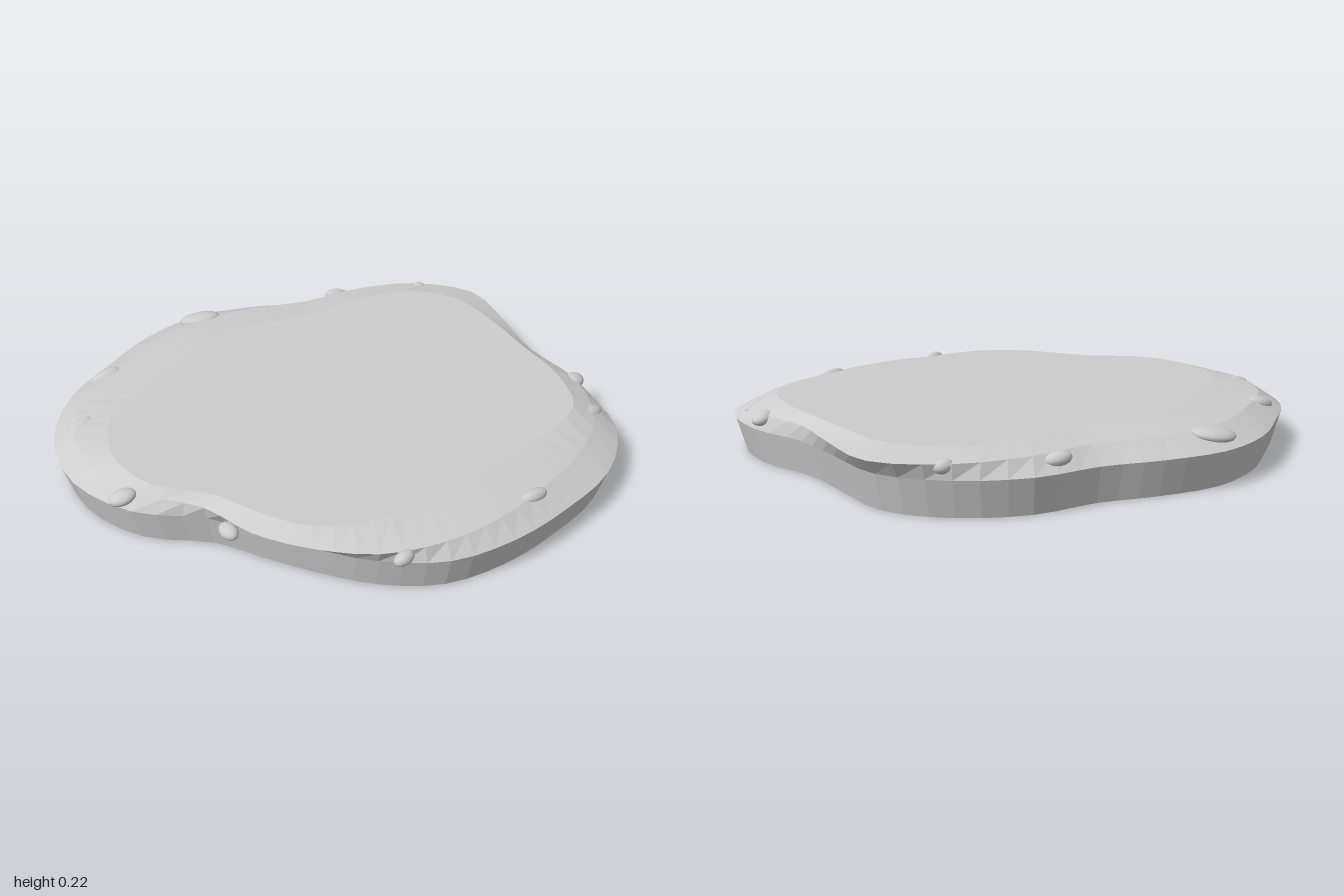
import * as THREE from 'three';

const SEGMENTS = 72;

// Ring radii every 15 degrees, from +x round towards +z
const RIM = [0.90, 0.88, 0.985, 1.06, 1.04, 0.975, 0.94, 0.91, 0.84, 0.77, 0.74, 0.755,
  0.91, 1.02, 1.06, 1.04, 0.98, 0.965, 0.94, 0.88, 0.85, 0.93, 0.98, 0.985];
const SHOULDER = [0.925, 0.875, 0.95, 0.97, 0.93, 0.88, 0.87, 0.87, 0.865, 0.83, 0.80, 0.765,
  0.86, 0.95, 0.98, 0.95, 0.88, 0.85, 0.82, 0.78, 0.77, 0.87, 0.98, 1.03];
const TOP = [0.85, 0.83, 0.87, 0.89, 0.78, 0.70, 0.675, 0.69, 0.735, 0.76, 0.73, 0.72,
  0.83, 0.87, 0.84, 0.73, 0.67, 0.66, 0.64, 0.61, 0.62, 0.72, 0.86, 0.90];

// Smooth closed ring through the given radii
function ring(radii, scale, height) {
  const knots = radii.map((r, i) => {
    const a = (i / radii.length) * Math.PI * 2;
    return new THREE.Vector3(r * scale * Math.cos(a), 0, r * scale * Math.sin(a));
  });
  const curve = new THREE.CatmullRomCurve3(knots, true, 'catmullrom', 0.5);
  return Array.from({ length: SEGMENTS }, (_, i) => {
    const p = curve.getPoint(i / SEGMENTS);
    p.y = height(p.z);
    return p;
  });
}

// Skin between neighbouring rings
function loft(rings) {
  const points = rings.flat();
  const index = [];
  for (let k = 0; k < rings.length - 1; k++) {
    for (let i = 0; i < SEGMENTS; i++) {
      const j = (i + 1) % SEGMENTS;
      const a = k * SEGMENTS + i, b = k * SEGMENTS + j;
      index.push(a, a + SEGMENTS, b, b, a + SEGMENTS, b + SEGMENTS);
    }
  }
  const geometry = new THREE.BufferGeometry().setFromPoints(points);
  geometry.setIndex(index);
  geometry.computeVertexNormals();
  return geometry;
}

// Fan that closes the top ring
function cap(edge, height) {
  const geometry = new THREE.BufferGeometry().setFromPoints([new THREE.Vector3(0, height, 0), ...edge]);
  const index = [];
  for (let i = 0; i < SEGMENTS; i++) index.push(0, 1 + ((i + 1) % SEGMENTS), 1 + i);
  geometry.setIndex(index);
  geometry.computeVertexNormals();
  return geometry;
}

export function createModel() {
  const model = new THREE.Group();
  model.name = 'stoneSlab';

  const stone = new THREE.MeshStandardMaterial({ color: 0xcccccc });
  stone.name = 'pale stone';
  stone.flatShading = true;
  stone.side = THREE.DoubleSide;
  const smoothStone = stone.clone();
  smoothStone.name = 'smooth pale stone';
  smoothStone.flatShading = false;

  const add = (name, geometry, material = stone) => {
    const mesh = new THREE.Mesh(geometry, material);
    mesh.name = name;
    model.add(mesh);
    return mesh;
  };

  // Slab, open underneath
  const bottom = ring(RIM, 0.965, () => 0);
  const rim = ring(RIM, 1, () => 0.13);
  const shoulder = ring(SHOULDER, 1, () => 0.183);
  const top = ring(TOP, 1, (z) => 0.212 + 0.01 * z);
  add('sideWall', loft([bottom, rim]));
  add('slopedEdge', loft([rim, shoulder, top]));
  add('topSurface', cap(top, 0.213));

  // Pebbles: x, y, z, half length, half width, turn
  const pebbles = [
    [-0.04, 0.168, -0.86, 0.085, 0.055, -0.55],
    [-0.57, 0.165, -0.735, 0.065, 0.036, -0.15],
    [-0.82, 0.17, -0.495, 0.058, 0.03, -0.1],
    [-0.915, 0.17, -0.04, 0.05, 0.038, -0.4],
    [-0.735, 0.17, 0.335, 0.03, 0.042, 0],
    [-0.38, 0.175, 0.805, 0.04, 0.025, 0],
    [0.175, 0.174, 0.855, 0.057, 0.026, -0.1],
    [0.71, 0.166, 0.65, 0.065, 0.03, 0.1],
    [0.83, 0.17, 0.465, 0.05, 0.037, 0.4],
    [0.54, 0.166, -0.655, 0.05, 0.03, -0.3],
    [0.855, 0.172, -0.46, 0.034, 0.025, -0.5],
  ];
  const ball = new THREE.SphereGeometry(1, 16, 10);
  pebbles.forEach(([x, y, z, length, width, turn], i) => {
    const pebble = add(`pebble${i + 1}`, ball, smoothStone);
    pebble.position.set(x, y, z);
    pebble.scale.set(length, 0.024, width);
    pebble.rotation.set(z * 0.25, turn, -x * 0.25);
  });

  return model;
}
